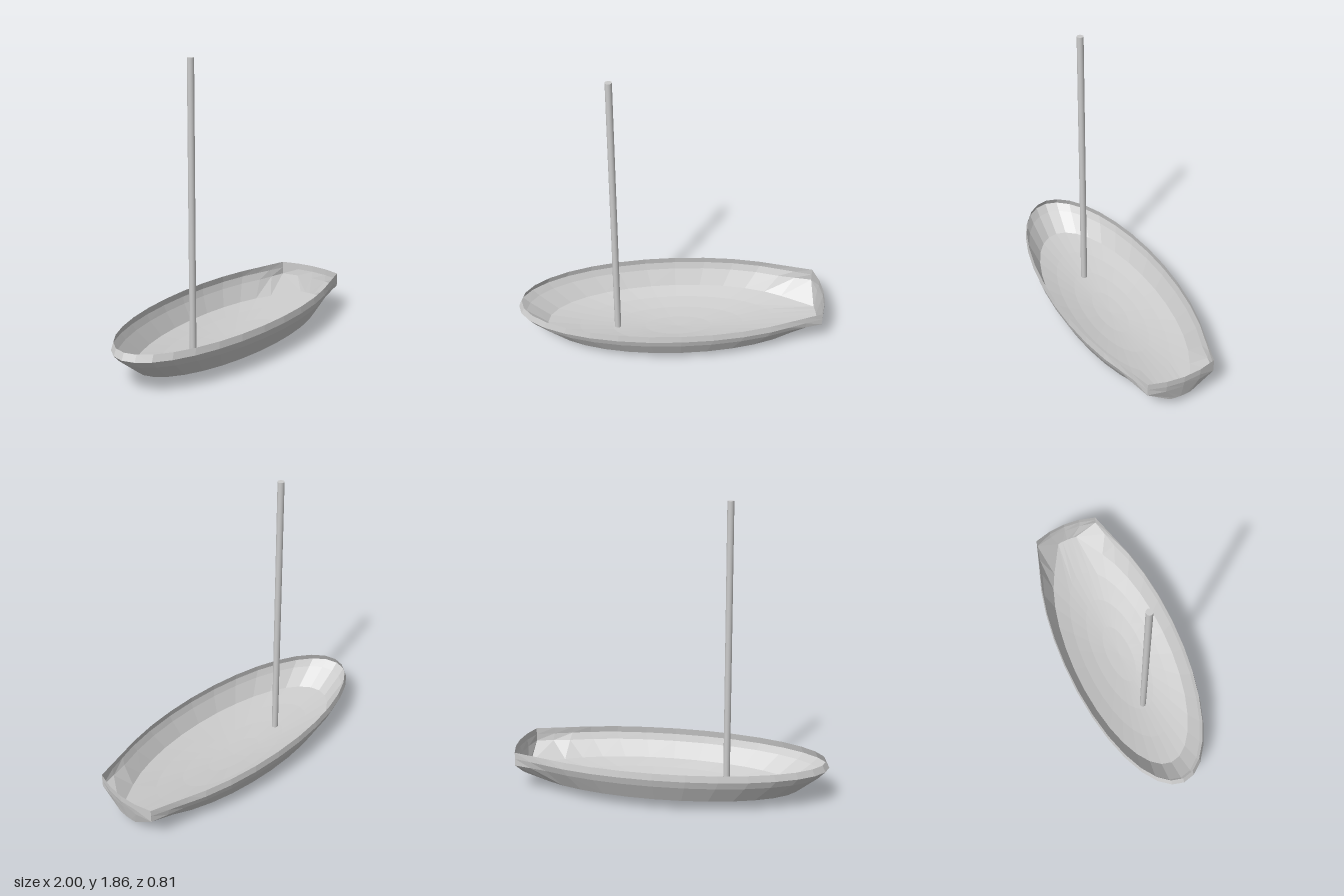
import * as THREE from 'three';

const SEG = 32; // points round each hull ring
const CX = 0.04; // middle of the hull ellipses

// Hull rings from the keel up: height, half length, half width.
// The upper four also meet the transom: corner z, bulge x on the centre line,
// and the last ellipse point before the straight run to the corner.
const bottom = [0.25, 0.5, 0.75].map((t) => ({ y: 0.07 * t * t, a: 0.87 * t, b: 0.338 * t }));
const sides = [
  { y: 0.07, a: 0.86, b: 0.338, cornerZ: 0.07, bulge: 0.965, last: 3 },
  { y: 0.175, a: 0.995, b: 0.39, cornerZ: 0.225, bulge: 0.99, last: 4 },
  { y: 0.22, a: 1.04, b: 0.403, cornerZ: 0.225, bulge: 1.0, last: 5 },
  { y: 0.262, a: 1.02, b: 0.397, cornerZ: 0.225, bulge: 1.0, last: 5 },
];

function ringPoint(ring, i) {
  const k = Math.min(i, SEG - i); // steps away from the stern
  const side = i <= SEG / 2 ? 1 : -1;
  const onEllipse = (n) => {
    const t = (n / SEG) * Math.PI * 2;
    return [CX + ring.a * Math.cos(t), ring.b * Math.sin(t)];
  };
  let [x, z] = onEllipse(k);
  if (ring.last && k <= 2) {
    // curved transom
    const s = k / 2;
    x = ring.bulge + (0.96 - ring.bulge) * s * s;
    z = ring.cornerZ * s;
  } else if (ring.last && k < ring.last) {
    // straight run from the ellipse to the transom corner
    const [ex, ez] = onEllipse(ring.last);
    const s = (k - 2) / (ring.last - 2);
    x = 0.96 + (ex - 0.96) * s;
    z = ring.cornerZ + (ez - ring.cornerZ) * s;
  }
  return [x, ring.y, z * side];
}

function hullGeometry() {
  const rings = [...bottom, ...sides];
  const pos = [CX, 0, 0];
  const index = [];
  const at = (r, i) => 1 + r * SEG + (i % SEG);
  rings.forEach((ring, r) => {
    for (let i = 0; i < SEG; i++) {
      pos.push(...ringPoint(ring, i));
      if (r === 0) index.push(0, at(0, i), at(0, i + 1));
      else {
        index.push(at(r - 1, i), at(r, i), at(r, i + 1));
        index.push(at(r - 1, i), at(r, i + 1), at(r - 1, i + 1));
      }
    }
  });
  const geo = new THREE.BufferGeometry();
  geo.setAttribute('position', new THREE.Float32BufferAttribute(pos, 3));
  geo.setIndex(index);
  geo.computeVertexNormals();
  return geo;
}

export function createModel() {
  const group = new THREE.Group();
  group.name = 'sailboat';

  // open thin-walled hull with a flat-cut stern
  const hull = new THREE.Mesh(
    hullGeometry(),
    new THREE.MeshStandardMaterial({ color: 0xcccccc, flatShading: true, side: THREE.DoubleSide })
  );
  hull.name = 'hull';
  group.add(hull);

  // mast standing on the hull floor
  const foot = 0.015, top = 1.855;
  const mast = new THREE.Mesh(
    new THREE.CylinderGeometry(0.021, 0.021, top - foot, 16),
    new THREE.MeshStandardMaterial({ color: 0xcccccc })
  );
  mast.name = 'mast';
  mast.position.set(-0.36, (foot + top) / 2, 0);
  group.add(mast);

  return group;
}
